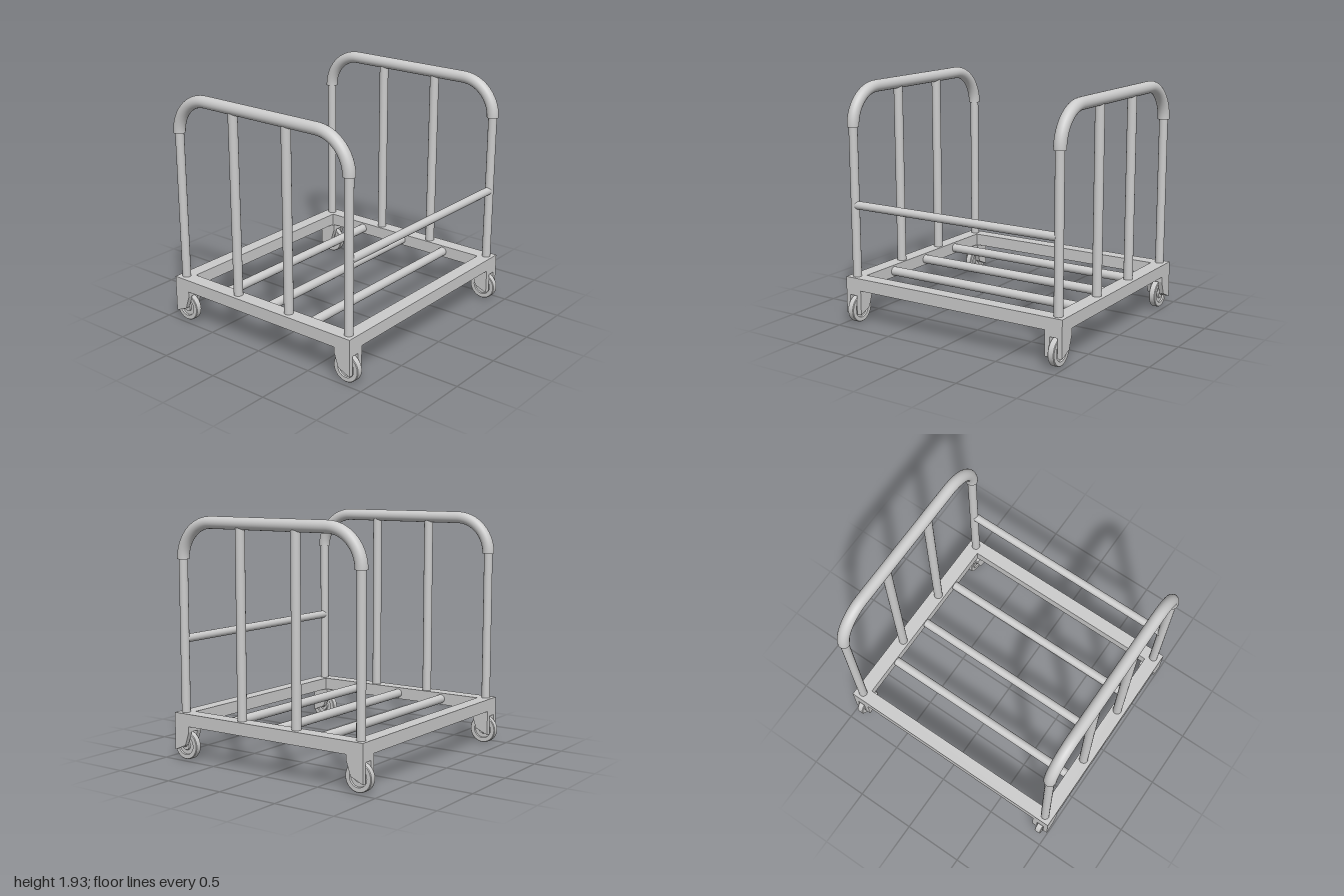
import * as THREE from 'three';
import { toCreasedNormals } from 'three/addons/utils/BufferGeometryUtils.js';

const mat = new THREE.MeshStandardMaterial({ color: 0xcccccc });
const HX = 0.895, HZ = 1;            // half width and half depth of the base
const POST_X = 0.835, END_Z = 0.933; // corner post positions

export function createModel() {
  const root = new THREE.Group();
  const add = (name, geometry, parent = root) => {
    const mesh = new THREE.Mesh(geometry, mat);
    mesh.name = name;
    parent.add(mesh);
    return mesh;
  };
  const upright = (name, x, y0, y1, r, parent) =>
    add(name, new THREE.CylinderGeometry(r, r, y1 - y0, 24), parent).position.set(x, (y0 + y1) / 2, 0);
  const barAlongZ = (name, x, y, half, r) => {
    const bar = add(name, new THREE.CylinderGeometry(r, r, half * 2, 24));
    bar.rotation.x = Math.PI / 2;
    bar.position.set(x, y, 0);
  };
  const rectangle = (Type, hx, hz) => new Type([[-hx, -hz], [hx, -hz], [hx, hz], [-hx, hz]]
    .map(([x, y]) => new THREE.Vector2(x, y)));

  // Base: rectangular frame of square tube
  const outline = rectangle(THREE.Shape, HX, HZ);
  outline.holes.push(rectangle(THREE.Path, 0.782, 0.88));
  const frame = add('baseFrame', new THREE.ExtrudeGeometry(outline, { depth: 0.1, bevelEnabled: false }));
  frame.rotation.x = -Math.PI / 2;
  frame.position.y = 0.28;

  // Floor bars and the single side rail
  for (const x of [-0.432, 0, 0.432]) barAlongZ('floorBar', x, 0.33, 0.89, 0.037);
  barAlongZ('sideRail', POST_X, 0.965, 0.92, 0.033);

  // Bent handle tube
  const endY = 1.59, topY = 1.88, bend = 0.29, k = bend * 0.5523;
  const v = (x, y) => new THREE.Vector3(x, y, 0);
  const corner = (s) => [
    v(s * POST_X, endY), v(s * POST_X, endY + k),
    v(s * (POST_X - bend + k), topY), v(s * (POST_X - bend), topY),
  ];
  const path = new THREE.CurvePath();
  path.add(new THREE.CubicBezierCurve3(...corner(-1)));
  path.add(new THREE.LineCurve3(v(bend - POST_X, topY), v(POST_X - bend, topY)));
  path.add(new THREE.CubicBezierCurve3(...corner(1).reverse()));
  const handleGeometry = new THREE.TubeGeometry(path, 64, 0.048, 24, false);
  const capGeometry = new THREE.CircleGeometry(0.048, 24).rotateX(Math.PI / 2);

  // End hoops: handle, corner posts and inner posts
  for (const s of [1, -1]) {
    const hoop = new THREE.Group();
    hoop.name = s > 0 ? 'frontHoop' : 'backHoop';
    hoop.position.z = s * END_Z;
    add('handle', handleGeometry, hoop);
    for (const side of [-1, 1]) {
      add('handleEnd', capGeometry, hoop).position.set(side * POST_X, endY, 0);
      upright('cornerPost', side * POST_X, 0.37, 1.62, 0.035, hoop);
      upright('innerPost', side * 0.26, 0.37, 1.86, 0.037, hoop);
    }
    root.add(hoop);
  }

  // Caster parts: fork plate profile and wheel cross-section
  const plateShape = (side) => new THREE.Shape(
    [[0.895, 0.28], [0.895, 0.08], [0.79, 0.125], [0.752, 0.235], [0.752, 0.28]]
      .map(([x, y]) => new THREE.Vector2(side * x, y)));
  const wheelProfile = [[0, -0.027], [0.035, -0.027], [0.04, -0.014], [0.072, -0.014],
    [0.075, -0.027], [0.108, -0.027], [0.113, -0.022], [0.113, 0.022], [0.108, 0.027],
    [0.075, 0.027], [0.072, 0.014], [0.04, 0.014], [0.035, 0.027], [0, 0.027]]
    .map(([r, y]) => new THREE.Vector2(r, y));
  const wheelGeometry = toCreasedNormals(
    new THREE.LatheGeometry(wheelProfile, 40).rotateX(Math.PI / 2), 0.5);

  // Four casters, mirrored to the corners
  for (const sx of [-1, 1]) for (const sz of [-1, 1]) {
    const caster = new THREE.Group();
    caster.name = `${sz > 0 ? 'front' : 'back'}${sx > 0 ? 'Left' : 'Right'}Caster`;
    for (const [z0, z1] of [[0.855, 0.897], [0.963, 1]]) {
      const plate = add('forkPlate', new THREE.ExtrudeGeometry(plateShape(sx),
        { depth: z1 - z0, bevelEnabled: false }), caster);
      plate.position.z = sz > 0 ? z0 : -z1;
    }
    add('forkTop', new THREE.BoxGeometry(0.143, 0.045, 0.145), caster)
      .position.set(sx * 0.8235, 0.2575, sz * 0.9275);
    add('wheel', wheelGeometry, caster).position.set(sx * 0.825, 0.113, sz * 0.93);
    const axle = add('axle', new THREE.CylinderGeometry(0.015, 0.015, 0.12, 16), caster);
    axle.rotation.x = Math.PI / 2;
    axle.position.set(sx * 0.825, 0.118, sz * 0.9275);
    root.add(caster);
  }
  return root;
}
